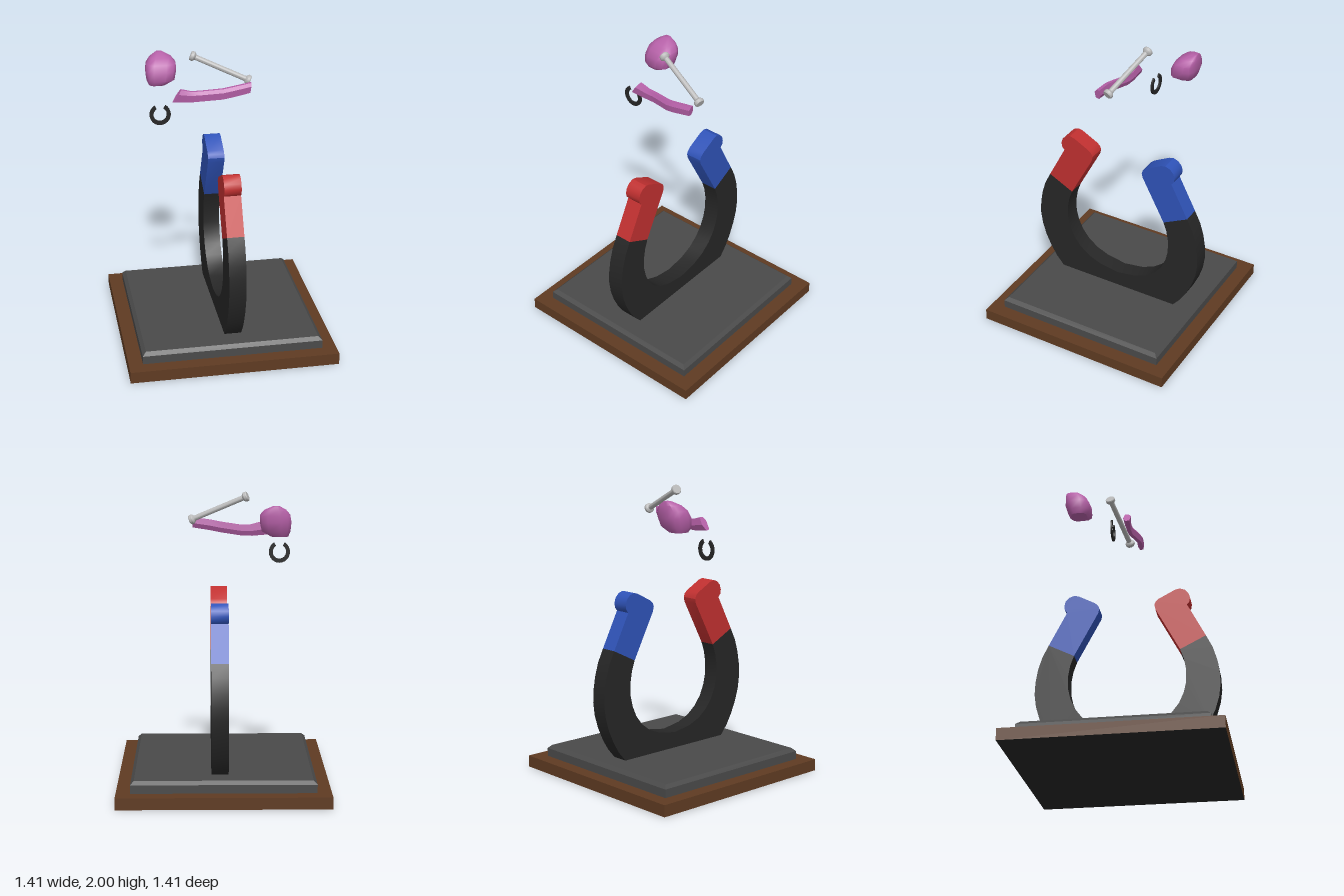
import * as THREE from 'three';
import { toCreasedNormals } from 'three/addons/utils/BufferGeometryUtils.js';

const mat = (name, color, extra = {}) => {
  const m = new THREE.MeshStandardMaterial({ color, ...extra });
  m.name = name;
  return m;
};

// Skin a closed solid over rings of equal length (counter-clockwise seen from the last ring)
function loft(rings, crease) {
  const n = rings[0].length, pos = rings.flat(2), idx = [];
  for (let r = 0; r < rings.length - 1; r++)
    for (let i = 0; i < n; i++) {
      const a = r * n + i, b = r * n + (i + 1) % n;
      idx.push(a, b, b + n, a, b + n, a + n);
    }
  const last = (rings.length - 1) * n;
  for (let i = 1; i < n - 1; i++) idx.push(0, i + 1, i, last, last + i, last + i + 1);
  const g = new THREE.BufferGeometry();
  g.setAttribute('position', new THREE.Float32BufferAttribute(pos, 3));
  g.setIndex(idx);
  return toCreasedNormals(g, crease);
}

// Extrude a side-view outline of [z, y] points across the magnet's thickness
function slab(points) {
  const shape = new THREE.Shape(points.map(([z, y]) => new THREE.Vector2(z, y)));
  const g = new THREE.ExtrudeGeometry(shape, { depth: 0.115, bevelEnabled: false });
  g.rotateY(-Math.PI / 2).translate(0.081, 0, 0);
  return toCreasedNormals(g, 0.5);
}

export function createModel() {
  const group = new THREE.Group();
  const black = mat('black', 0x262626);
  const red = mat('red', 0xc03030);
  const blue = mat('blue', 0x2f53b8);
  const brown = mat('wood brown', 0x5f3b22);
  const gray = mat('plate gray', 0x4a4a4a);
  const silver = mat('silver', 0xbababa);
  const pink = mat('pink', 0xb660a8);
  const add = (name, geometry, material) => {
    const mesh = new THREE.Mesh(geometry, material);
    mesh.name = name;
    group.add(mesh);
    return mesh;
  };

  // Wooden base with dark underside
  add('base', new THREE.BoxGeometry(1.414, 0.08, 1.414), [brown, brown, brown, black, brown, brown])
    .position.y = 0.04;

  // Bevelled plate
  const square = (s, y) => [[s, y, s], [s, y, -s], [-s, y, -s], [-s, y, s]];
  add('plate', loft([square(0.612, 0.08), square(0.612, 0.137), square(0.588, 0.16)], 0.2), gray);

  // Horseshoe magnet body
  const outer = [[0.45, 0.16], [0.505, 0.225], [0.55, 0.3], [0.59, 0.39], [0.617, 0.48], [0.629, 0.57],
    [0.625, 0.66], [0.61, 0.75], [0.583, 0.84], [0.54, 0.928]];
  const inner = [[0.363, 0.838], [0.387, 0.77], [0.401, 0.69], [0.4, 0.6], [0.383, 0.525], [0.35, 0.45],
    [0.3, 0.385], [0.23, 0.33], [0.14, 0.293], [0, 0.27]];
  const half = [...outer, ...inner];
  const flip = ([z, y]) => [-z, y];
  add('magnetBody', slab([...half, ...half.slice(0, -1).reverse().map(flip)]), black);

  // Coloured poles with a lip at each tip
  const pole = [[0.54, 0.928], [0.416, 1.168], [0.433, 1.19], [0.438, 1.22], [0.428, 1.255], [0.402, 1.283],
    [0.368, 1.295], [0.335, 1.287], [0.222, 1.227], [0.2, 1.207], [0.191, 1.183], [0.198, 1.15], [0.363, 0.838]];
  add('redPole', slab(pole), red);
  add('bluePole', slab(pole.map(flip)), blue);

  // Small floating horseshoe
  const arc = (r) => Array.from({ length: 21 }, (_, i) => {
    const a = Math.PI * (0.67 + 1.66 * i / 20);
    return new THREE.Vector2(r * Math.cos(a), r * Math.sin(a) * 1.04);
  });
  const shoe = new THREE.Shape([...arc(0.071), ...arc(0.045).reverse()]);
  add('smallHorseshoe', toCreasedNormals(
    new THREE.ExtrudeGeometry(shoe, { depth: 0.012, bevelEnabled: false }), 0.5), black)
    .position.set(-0.381, 1.591, -0.046);

  // Floating rod with a collar at each end
  const a = new THREE.Vector3(-0.165, 1.972, -0.1), b = new THREE.Vector3(0.22, 1.802, -0.01);
  const h = a.distanceTo(b) / 2;
  const end = [[0, h], [0.029, h], [0.033, h - 0.006], [0.033, h - 0.022], [0.027, h - 0.03], [0.018, h - 0.036]];
  const profile = [...end.map(([r, y]) => [r, -y]), ...end.slice().reverse()]
    .map(([r, y]) => new THREE.Vector2(r, y));
  const rod = add('rod', toCreasedNormals(new THREE.LatheGeometry(profile, 20), 0.5), silver);
  rod.position.copy(a).add(b).multiplyScalar(0.5);
  rod.quaternion.setFromUnitVectors(new THREE.Vector3(0, 1, 0), b.clone().sub(a).normalize());

  // Bent floating bar: x, centre y, centre z, half height, half depth, end slant
  const section = [[1, -0.7], [1, 0.3], [0.4, 1], [-0.85, 0.8], [-1, -0.3], [-0.1, -1]];
  const bar = [
    [-0.28, 1.742, 0.04, 0.042, 0.026, 0.028],
    [-0.19, 1.728, 0.036, 0.037, 0.02, 0.01],
    [-0.12, 1.73, 0.038, 0.036, 0.02, 0],
    [0.02, 1.748, 0.072, 0.036, 0.022, 0],
    [0.08, 1.76, 0.077, 0.036, 0.022, 0],
    [0.207, 1.78, 0.067, 0.035, 0.022, 0.005],
  ].map(([x, y, z, hy, hz, slant]) =>
    section.map(([v, w]) => [x + slant * v, y + hy * v, z + hz * w]));
  add('bentBar', loft(bar, 0.4), pink);

  // Rounded floating chunk: y, x range, z range
  const chunk = [
    [1.725, -0.425, -0.31, -0.33, -0.22],
    [1.76, -0.441, -0.25, -0.355, -0.194],
    [1.82, -0.446, -0.237, -0.373, -0.2],
    [1.865, -0.438, -0.236, -0.373, -0.225],
    [1.9, -0.41, -0.265, -0.373, -0.265],
    [1.927, -0.365, -0.32, -0.366, -0.325],
  ].map(([y, x0, x1, z0, z1]) => Array.from({ length: 12 }, (_, i) => {
    const t = i / 12 * Math.PI * 2 + 0.15;
    const soft = (v) => Math.sign(v) * Math.abs(v) ** 0.65;
    return [(x0 + x1) / 2 + (x1 - x0) / 2 * soft(Math.cos(t)), y, (z0 + z1) / 2 - (z1 - z0) / 2 * soft(Math.sin(t))];
  }));
  add('chunk', loft(chunk, 0.9), pink);

  return group;
}
